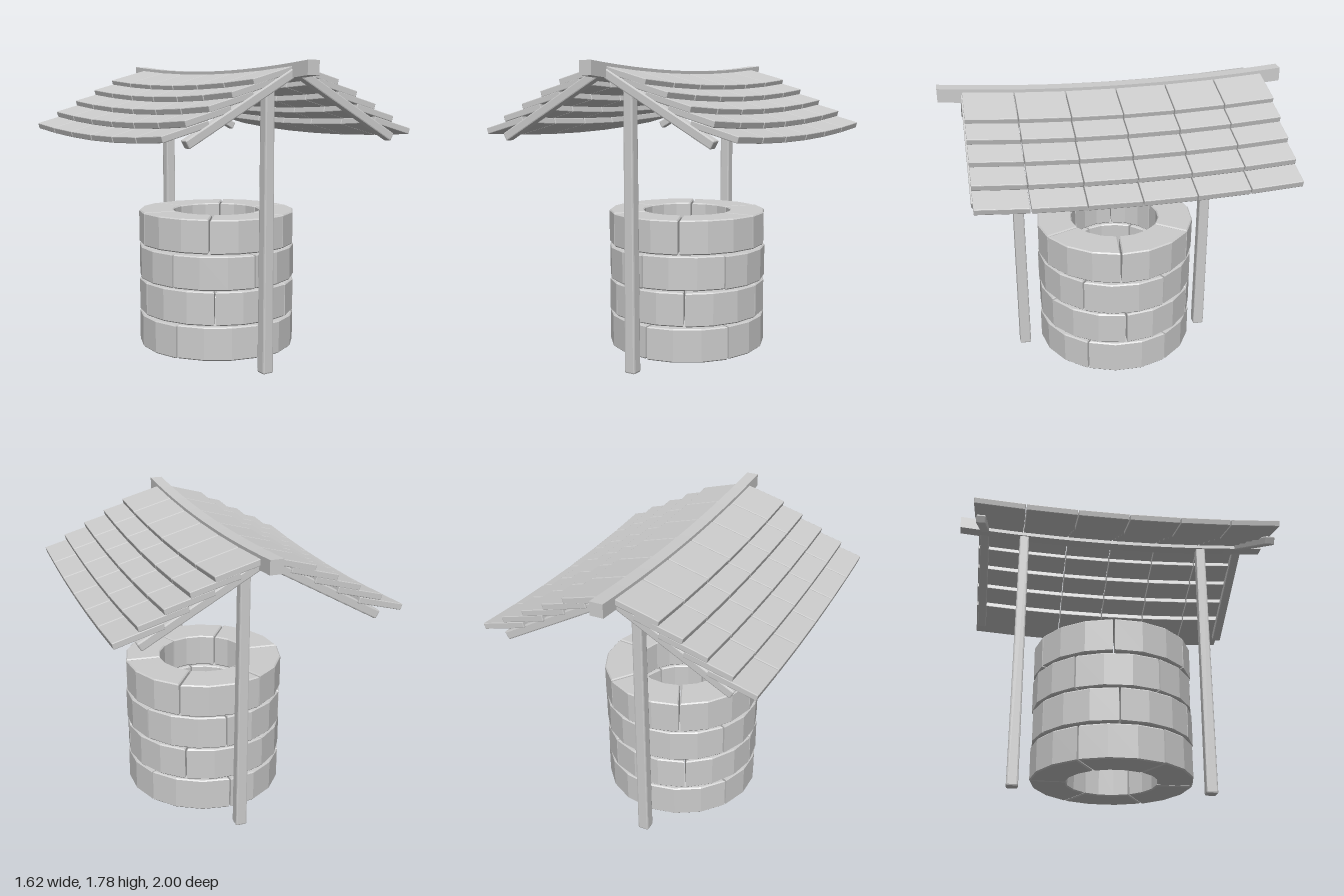
import * as THREE from 'three';
import { RoundedBoxGeometry } from 'three/addons/geometries/RoundedBoxGeometry.js';

const material = new THREE.MeshStandardMaterial({ color: 0xcccccc, flatShading: true });

function add(parent, geometry, name) {
  const mesh = new THREE.Mesh(geometry, material);
  mesh.name = name;
  parent.add(mesh);
  return mesh;
}

function group(parent, name) {
  const g = new THREE.Group();
  g.name = name;
  parent.add(g);
  return g;
}

// Applies fn(vertex) to every vertex of a geometry
function reshape(geometry, fn) {
  const pos = geometry.attributes.position;
  const v = new THREE.Vector3();
  for (let i = 0; i < pos.count; i++) {
    fn(v.fromBufferAttribute(pos, i));
    pos.setXYZ(i, v.x, v.y, v.z);
  }
  geometry.computeVertexNormals();
  return geometry;
}

// Roof sag: low in the middle, level at the gable ends
const sag = (v) => { v.y += 0.045 * (v.z * v.z - 0.766); };

// Small seeded wobble in -1..1
let seed = 7;
const wobble = () => {
  seed = (seed * 16807) % 2147483647;
  return (seed / 2147483647) * 2 - 1;
};

// Curved, bevelled stone block covering one sixth of a ring
function brickGeometry(height) {
  const inner = 0.27, outer = 0.482, segments = 3, bevel = 0.007;
  const points = [];
  for (const [radius, forward] of [[outer, true], [inner, false]]) {
    const half = Math.PI / 6 - 0.005 / radius;
    for (let i = 0; i <= segments; i++) {
      const t = (i / segments) * 2 - 1;
      const a = half * (forward ? t : -t);
      points.push(new THREE.Vector2(radius * Math.cos(a), radius * Math.sin(a)));
    }
  }
  const geometry = new THREE.ExtrudeGeometry(new THREE.Shape(points), {
    depth: height - 2 * bevel, bevelThickness: bevel, bevelSize: bevel,
    bevelOffset: -bevel, bevelSegments: 1,
  });
  return geometry.translate(0, 0, bevel).rotateX(-Math.PI / 2);
}

export function createModel() {
  const model = new THREE.Group();
  model.name = 'well';

  // Stone wall: four staggered courses of six blocks
  const wall = group(model, 'stoneWall');
  wall.position.set(0.025, 0, -0.005);
  const brick = brickGeometry(0.202);
  [30, 2, 33, 6].forEach((firstSeam, course) => {
    const ring = group(wall, 'stoneCourse');
    ring.position.y = 0.056 + course * 0.2115;
    for (let i = 0; i < 6; i++) {
      const block = add(ring, brick, 'stoneBlock');
      block.rotation.y = -THREE.MathUtils.degToRad(firstSeam + 30 + i * 60);
      block.rotation.z = wobble() * 0.006;
    }
  });

  // Posts, slightly tapered towards the top
  for (const side of [1, -1]) {
    const post = reshape(new RoundedBoxGeometry(0.07, 1.7, 0.07, 1, 0.01), (v) => {
      const k = 0.93 - 0.08 * v.y;
      v.x *= k;
      v.z *= k;
    });
    add(model, post, 'post').position.set(0, 0.855, side * 0.585);
  }

  const roof = group(model, 'roof');

  // Sagging ridge beam
  const ridge = new THREE.BoxGeometry(0.076, 0.078, 2, 1, 1, 16).translate(0, 1.735, 0);
  add(roof, reshape(ridge, sag), 'ridgeBeam');

  // Gable rafters
  for (const side of [1, -1]) {
    for (const end of [1, -1]) {
      const rafter = new RoundedBoxGeometry(0.76, 0.05, 0.055, 1, 0.007);
      rafter.rotateZ(-side * 0.507).translate(side * 0.336, 1.547, end * 0.843);
      add(roof, rafter, 'rafter');
    }
  }

  // Overlapping shingles: outer top edge of each row as [x, y]
  const rows = [[0.28, 1.69], [0.41, 1.625], [0.545, 1.555], [0.68, 1.485], [0.81, 1.412]];
  const columns = 6, pitch = 0.2917, thick = 0.036, tilt = 0.265;
  for (const side of [1, -1]) {
    const slope = group(roof, side > 0 ? 'leftShingles' : 'rightShingles');
    for (const [x, y] of rows) {
      const length = x < 0.3 ? 0.26 : 0.275;
      for (let c = 0; c < columns; c++) {
        const z = (c - (columns - 1) / 2) * pitch - 0.01;
        const shingle = new RoundedBoxGeometry(length, thick, pitch - 0.006, 1, 0.004);
        shingle.translate(-side * length / 2, -thick / 2, 0);
        shingle.rotateZ(-side * tilt).translate(side * x, y, z);
        add(slope, reshape(shingle, sag), 'shingle');
      }
    }
  }

  return model;
}
